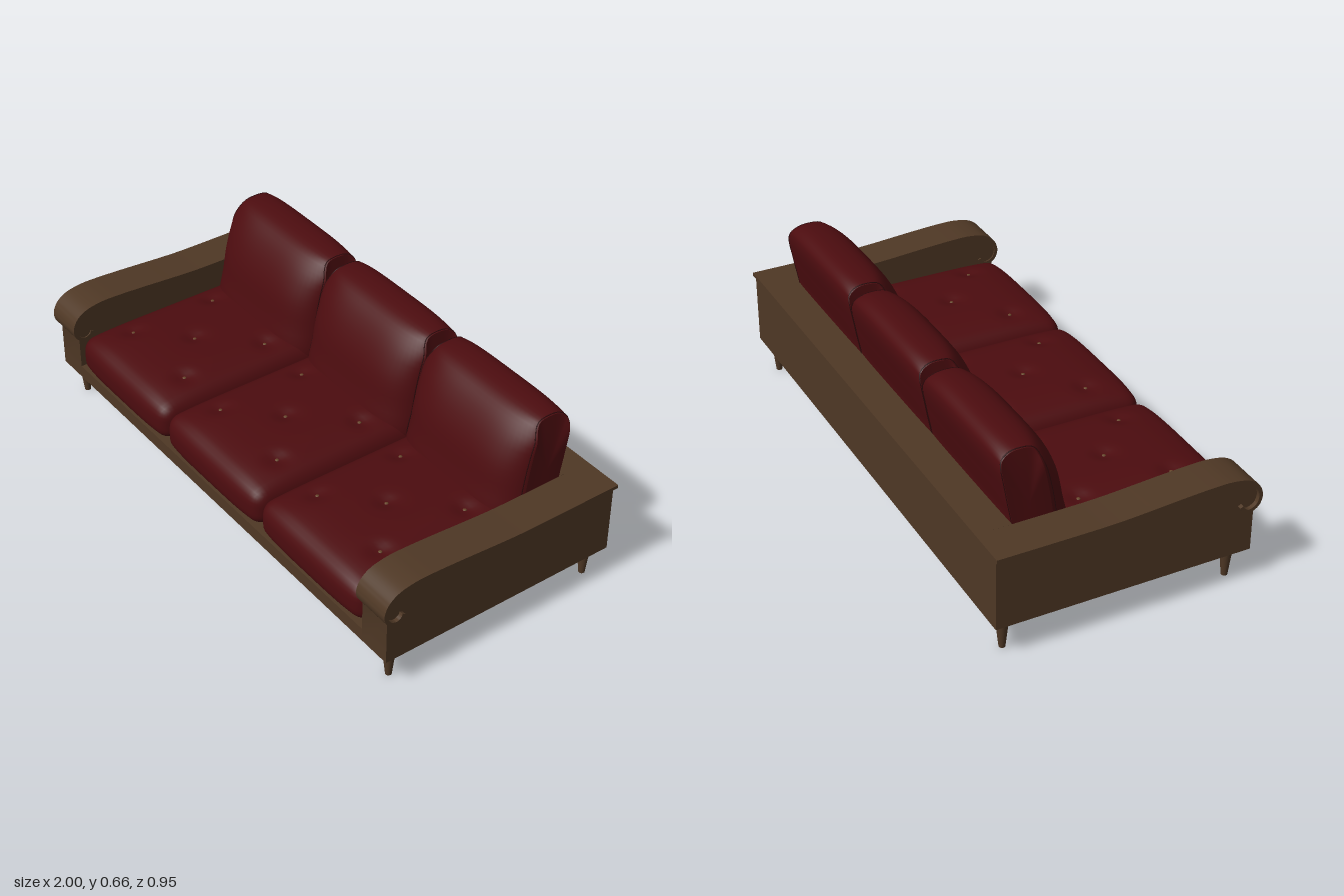
import * as THREE from 'three';
import { mergeVertices, toCreasedNormals } from 'three/addons/utils/BufferGeometryUtils.js';

const material = (name, color) => {
  const m = new THREE.MeshStandardMaterial({ color });
  m.name = name;
  return m;
};
const v2 = (list) => list.map(([a, b]) => new THREE.Vector2(a, b));

// Closed smooth ring in the (z, y) plane
const ring = (list) => new THREE.CatmullRomCurve3(
  list.map(([z, y]) => new THREE.Vector3(0, y, z)), true, 'centripetal').getPoints(44).slice(0, -1);

// Extrude a (z, y) outline from x0 to x1
function extrudeX(points, x0, x1) {
  const g = new THREE.ExtrudeGeometry(new THREE.Shape(points), { depth: x1 - x0, bevelEnabled: false });
  g.rotateY(-Math.PI / 2).translate(x1, 0, 0);
  return toCreasedNormals(g, 0.6);
}

// Back cushion: side outlines at its ends and at its middle
const endRing = ring([[-0.19, 0.27], [-0.205, 0.395], [-0.222, 0.5], [-0.24, 0.58], [-0.265, 0.637], [-0.31, 0.646],
  [-0.35, 0.64], [-0.378, 0.617], [-0.366, 0.5], [-0.347, 0.395], [-0.335, 0.27]]);
const midRing = ring([[-0.1, 0.27], [-0.112, 0.395], [-0.137, 0.5], [-0.19, 0.6], [-0.24, 0.648], [-0.31, 0.663],
  [-0.36, 0.655], [-0.386, 0.625], [-0.37, 0.5], [-0.35, 0.395], [-0.34, 0.27]]);
const HALF = 0.285;

function backRing(u) {
  const bulge = Math.pow(1 - Math.pow(Math.abs(u), 4), 0.7);
  return endRing.map((e, j) => {
    const p = e.clone().lerp(midRing[j], bulge);
    p.x = u * HALF * (1 - 0.1 * THREE.MathUtils.smoothstep(p.y, 0.57, 0.66));
    return p;
  });
}

function backCushionGeometry() {
  const steps = 28, n = endRing.length, pos = [], index = [];
  for (let i = 0; i <= steps; i++) {
    const u = Math.sin((i / steps - 0.5) * Math.PI);
    backRing(u).forEach((p) => pos.push(p.x, p.y, p.z));
  }
  for (let i = 0; i < steps; i++) {
    for (let j = 0; j < n; j++) {
      const a = i * n + j, b = i * n + (j + 1) % n;
      index.push(a, a + n, b, b, a + n, b + n);
    }
  }
  // End faces
  for (const s of [-1, 1]) {
    const start = pos.length / 3;
    backRing(s).forEach((p) => pos.push(p.x, p.y, p.z));
    pos.push(s * HALF, 0.45, -0.29);
    for (let j = 0; j < n; j++) {
      const a = start + j, b = start + (j + 1) % n;
      index.push(start + n, s > 0 ? b : a, s > 0 ? a : b);
    }
  }
  const g = new THREE.BufferGeometry();
  g.setAttribute('position', new THREE.Float32BufferAttribute(pos, 3));
  g.setIndex(index);
  g.computeVertexNormals();
  return g;
}

// Seat cushion: rounded block with a domed, tufted top
const TUFTS = [[-0.17, -0.05], [0.17, -0.05], [0, 0.14], [-0.17, 0.295], [0.17, 0.295]];
const seatRise = (x, z) => {
  const u = x / HALF, w = (z - 0.05) / 0.41;
  let rise = 0.042 * Math.max(0, 1 - u ** 4) * Math.max(0, 1 - w ** 6);
  for (const [tx, tz] of TUFTS) rise -= 0.013 * Math.exp(-((x - tx) ** 2 + (z - tz) ** 2) / 0.0012);
  return rise;
};

function seatCushionGeometry() {
  const h = [HALF, 0.065, 0.405], r = 0.045;
  let g = new THREE.BoxGeometry(h[0] * 2, h[1] * 2, h[2] * 2, 40, 8, 48);
  g.deleteAttribute('uv');
  g.deleteAttribute('normal');
  g = mergeVertices(g);
  const p = g.attributes.position, v = new THREE.Vector3(), c = new THREE.Vector3();
  const inner = new THREE.Vector3(h[0] - r, h[1] - r, h[2] - r), low = inner.clone().negate();
  for (let i = 0; i < p.count; i++) {
    v.fromBufferAttribute(p, i);
    c.copy(v).clamp(low, inner);
    v.sub(c).setLength(r).add(c);
    const t = (v.y + h[1]) / (2 * h[1]);
    v.z += 0.045;
    v.y += 0.235 + t * seatRise(v.x, v.z);
    if (v.z > 0.3) v.z += 0.017 * (1 - (v.x / HALF) ** 4) * (v.z - 0.3) / 0.15;
    p.setXYZ(i, v.x, v.y, v.z);
  }
  g.computeVertexNormals();
  return g;
}

export function createModel() {
  const model = new THREE.Group();
  model.name = 'sofa';
  const wood = material('brown wood', 0x4f3825);
  const fabric = material('dark red upholstery', 0x4c0c0f);
  const thread = material('seam thread', 0x2c0709);
  const brass = material('button', 0x66452a);

  const add = (name, geometry, mat, x = 0, y = 0, z = 0) => {
    const mesh = new THREE.Mesh(geometry, mat);
    mesh.name = name;
    mesh.position.set(x, y, z);
    model.add(mesh);
    return mesh;
  };
  const box = (name, x, y0, y1, z0, z1) =>
    add(name, new THREE.BoxGeometry(x * 2, y1 - y0, z1 - z0), wood, 0, (y0 + y1) / 2, (z0 + z1) / 2);

  // Frame between the arms
  box('seatBase', 0.86, 0.12, 0.17, -0.345, 0.455);
  box('backPanel', 0.86, 0.12, 0.385, -0.47, -0.345);
  box('backCap', 0.855, 0.385, 0.397, -0.475, -0.342);

  // Scrolled arm cap: a strip following the arm line, rolled under at the front
  const line = new THREE.SplineCurve(v2([[-0.475, 0.397], [-0.3, 0.397], [-0.1, 0.398], [0, 0.402], [0.1, 0.409],
    [0.2, 0.416], [0.3, 0.421], [0.36, 0.42], [0.42, 0.408], [0.46, 0.38], [0.477, 0.34], [0.47, 0.305],
    [0.45, 0.286], [0.425, 0.28], [0.403, 0.292], [0.395, 0.307]]));
  const outer = [], under = [];
  for (let i = 0; i <= 75; i++) {
    const p = line.getPoint(i / 75), d = line.getTangent(i / 75);
    outer.push(p);
    under.push(new THREE.Vector2(p.x + d.y * 0.013, p.y - d.x * 0.013));
  }
  const capOutline = [...outer, ...under.slice().reverse()];
  const rollEnd = under.findIndex((p) => p.x > 0.44 && p.y < 0.315);
  const bodyOutline = under.slice(0, rollEnd).map((p) => new THREE.Vector2(Math.max(p.x, -0.47), p.y));
  bodyOutline.push(...v2([[0.455, 0.3], [0.455, 0.12], [-0.47, 0.12]]));

  const leg = new THREE.CylinderGeometry(0.024, 0.011, 0.12, 16);
  for (const [side, s] of [['left', 1], ['right', -1]]) {
    const span = (a, b) => (s > 0 ? [a, b] : [-b, -a]);
    add(side + 'ArmPanel', extrudeX(bodyOutline, ...span(0.86, 0.985)), wood);
    add(side + 'ArmCap', extrudeX(capOutline, ...span(0.855, 1)), wood);
    add(side + 'FrontLeg', leg, wood, s * 0.93, 0.06, 0.4);
    add(side + 'BackLeg', leg, wood, s * 0.93, 0.06, -0.42);
  }

  // Three seat and back cushions with seams and buttons
  const seat = seatCushionGeometry(), back = backCushionGeometry();
  const seams = [-0.985, 0.985].map((u) =>
    new THREE.TubeGeometry(new THREE.CatmullRomCurve3(backRing(u), true), 88, 0.002, 5, true));
  const button = new THREE.SphereGeometry(0.007, 12, 8).scale(1, 0.5, 1);
  for (const x of [-0.57, 0, 0.57]) {
    add('seatCushion', seat, fabric, x);
    add('backCushion', back, fabric, x);
    seams.forEach((g) => add('backCushionSeam', g, thread, x));
    for (const [tx, tz] of TUFTS) add('seatButton', button, brass, x + tx, 0.301 + seatRise(tx, tz), tz);
  }
  return model;
}
